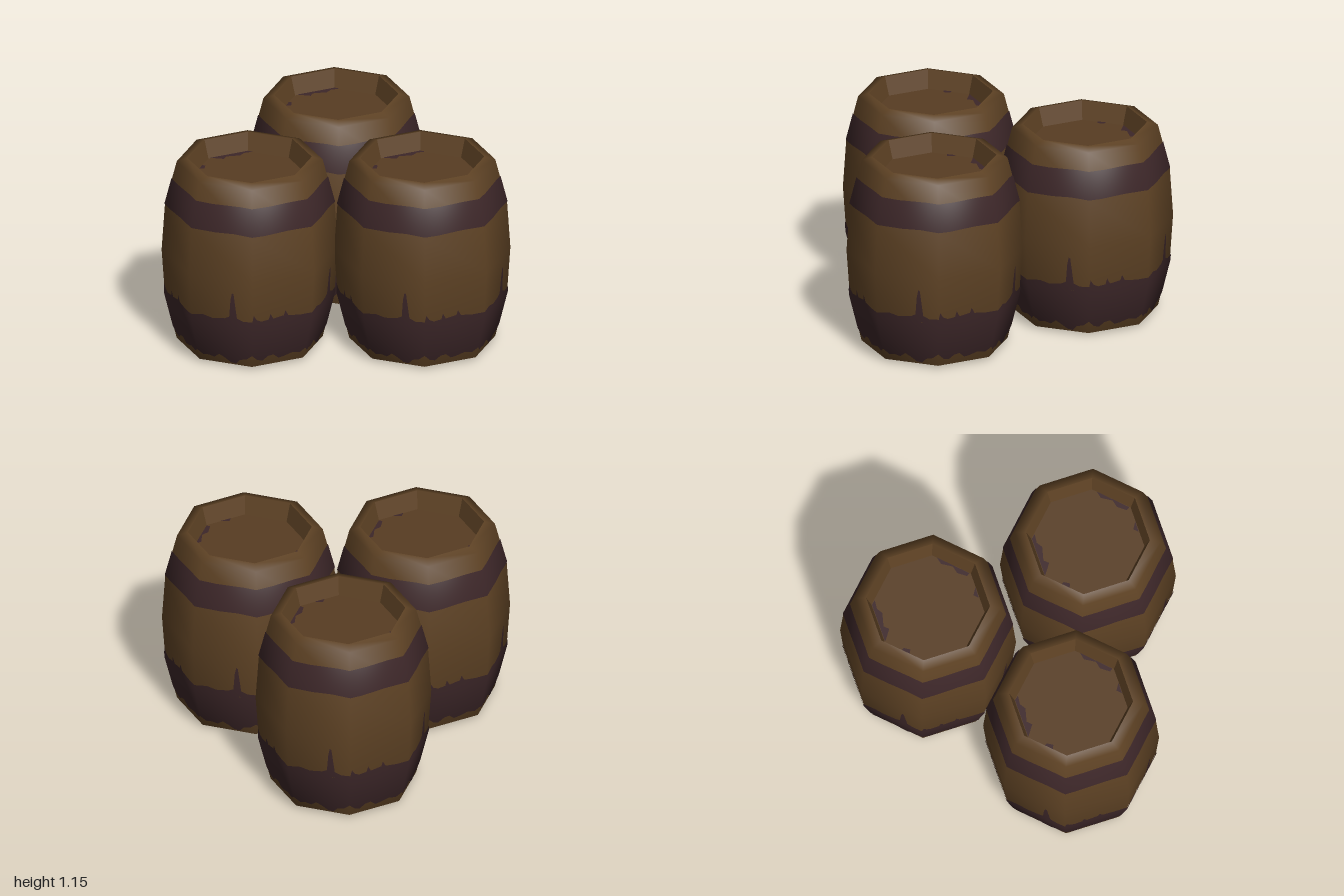
import * as THREE from 'three';

const SIDES = 8;
const TURN = 0.09;
const material = (name, color) => {
  const m = new THREE.MeshStandardMaterial({ color });
  m.name = name;
  return m;
};

// Barrel silhouette, radius and height from foot to rim
const PROFILE = [
  [0.357, 0.005], [0.42, 0.021], [0.488, 0.3], [0.507, 0.58],
  [0.488, 0.865], [0.42, 1.135], [0.357, 1.154],
];
const lathe = (points) =>
  new THREE.LatheGeometry(points.map(([r, y]) => new THREE.Vector2(r, y)), SIDES);

const flat = (geometry) => {
  const g = geometry.toNonIndexed();
  g.computeVertexNormals();
  return g;
};

// Piecewise linear lookup in [key, value] pairs
function lookup(table, key) {
  let i = 1;
  while (i < table.length - 1 && table[i][0] < key) i++;
  const [k0, v0] = table[i - 1], [k1, v1] = table[i];
  return THREE.MathUtils.lerp(v0, v1, THREE.MathUtils.clamp((key - k0) / (k1 - k0), 0, 1));
}

// Edges of the painted bands over two staves faces; the pattern repeats four times
const LOWER_BOTTOM = [
  [0, 0.09], [0.1, 0.06], [0.2, 0.065], [0.3, 0.055], [0.4, 0.08], [0.5, 0.06], [0.6, 0.035],
  [0.7, 0.03], [0.78, 0.06], [0.9, 0.07], [1, 0.1], [1.1, 0.065], [1.2, 0.055], [1.3, 0.08],
  [1.4, 0.085], [1.5, 0.055], [1.6, 0.06], [1.75, 0.075], [1.9, 0.065], [2, 0.09],
];
const LOWER_TOP = [
  [0, 0.33], [0.2, 0.34], [0.35, 0.325], [0.55, 0.335], [0.625, 0.35], [0.65, 0.46], [0.675, 0.505],
  [0.7, 0.5], [0.725, 0.42], [0.75, 0.345], [0.85, 0.33], [1, 0.335], [1.025, 0.375], [1.075, 0.345],
  [1.15, 0.33], [1.275, 0.335], [1.3, 0.37], [1.35, 0.335], [1.525, 0.345], [1.55, 0.375],
  [1.6, 0.34], [1.8, 0.33], [2, 0.33],
];
const UPPER_BOTTOM = [[0, 0.87], [0.4, 0.867], [0.7, 0.873], [1.2, 0.866], [1.6, 0.872], [2, 0.87]];
const UPPER_TOP = [[0, 1.03], [0.3, 1.026], [0.8, 1.032], [1.3, 1.027], [1.7, 1.031], [2, 1.03]];

// Thin painted skin wrapped over the staves between two ragged edges
function bandGeometry(bottom, top, body) {
  const rows = 7, perQuarter = 80, columns = perQuarter * 4;
  const n = body.attributes.normal;
  const radialNormal = PROFILE.map(([, y], i) => [y, n.getZ(i)]);
  const upNormal = PROFILE.map(([, y], i) => [y, n.getY(i)]);
  const radius = PROFILE.map(([r, y]) => [y, r]);
  const position = [], normal = [], index = [];
  for (let c = 0; c <= columns; c++) {
    const s = c === columns ? 2 : (c % perQuarter) * 2 / perQuarter;
    const face = c * 2 / perQuarter;
    const a = (Math.floor(face) - 1) * Math.PI / 4, b = a + Math.PI / 4;
    const f = face - Math.floor(face);
    const dx = THREE.MathUtils.lerp(Math.sin(a), Math.sin(b), f);
    const dz = THREE.MathUtils.lerp(Math.cos(a), Math.cos(b), f);
    const low = lookup(bottom, s), high = lookup(top, s);
    for (let r = 0; r <= rows; r++) {
      const y = THREE.MathUtils.lerp(low, high, r / rows);
      const rad = lookup(radius, y) + 0.004;
      const side = lookup(radialNormal, y);
      const v = new THREE.Vector3(dx * side, lookup(upNormal, y), dz * side).normalize();
      position.push(dx * rad, y, dz * rad);
      normal.push(v.x, v.y, v.z);
      if (c < columns && r < rows) {
        const i = c * (rows + 1) + r, j = i + rows + 1;
        index.push(i, j, i + 1, j + 1, i + 1, j);
      }
    }
  }
  const g = new THREE.BufferGeometry();
  g.setAttribute('position', new THREE.Float32BufferAttribute(position, 3));
  g.setAttribute('normal', new THREE.Float32BufferAttribute(normal, 3));
  g.setIndex(index);
  return g;
}

// Stains along the edge of the lid, as x and z around the barrel's middle
const STAINS = [
  [[-0.235, -0.21], [-0.16, -0.2], [-0.15, -0.235], [-0.07, -0.255], [-0.05, -0.29], [0, -0.31], [-0.03, -0.322], [-0.24, -0.212]],
  [[0.315, 0], [0.25, 0.2], [0.23, 0.19], [0.24, 0.13], [0.275, 0.1], [0.28, 0.03]],
  [[0.17, 0.248], [0.11, 0.278], [0.12, 0.245]],
  [[-0.28, -0.11], [-0.293, -0.06], [-0.265, -0.06], [-0.262, -0.1]],
];

export function createModel() {
  const wood = material('brown wood', 0x5e4224);
  const lidWood = material('lid wood', 0x583d23);
  const band = material('dark purple band', 0x3d2729);

  const body = lathe(PROFILE);
  const lidTop = 1.045, lidBottom = 0.114, lidRadius = 0.326;
  const stains = new THREE.ShapeGeometry(
    STAINS.map((points) => new THREE.Shape(points.map(([x, z]) => new THREE.Vector2(x, -z))))
  ).rotateX(-Math.PI / 2).rotateY(-TURN).translate(0, lidTop + 0.004, 0);

  const parts = [
    ['staves', body, wood],
    ['upperRimInside', flat(lathe([[0.357, 1.154], [lidRadius, lidTop]])), wood],
    ['lowerRimInside', flat(lathe([[lidRadius, lidBottom], [0.357, 0.005]])), wood],
    ['lid', new THREE.CircleGeometry(lidRadius, SIDES).rotateX(-Math.PI / 2).translate(0, lidTop, 0), lidWood],
    ['base', new THREE.CircleGeometry(lidRadius, SIDES).rotateX(Math.PI / 2).translate(0, lidBottom, 0), lidWood],
    ['lidStains', stains, band],
    ['upperBand', bandGeometry(UPPER_BOTTOM, UPPER_TOP, body), band],
    ['lowerBand', bandGeometry(LOWER_BOTTOM, LOWER_TOP, body), band],
  ];

  // Three barrels standing close together
  const model = new THREE.Group();
  model.name = 'barrels';
  const places = { backBarrel: [-0.05, -0.455], rightBarrel: [-0.495, 0.45], leftBarrel: [0.495, 0.388] };
  for (const [name, [x, z]] of Object.entries(places)) {
    const barrel = new THREE.Group();
    barrel.name = name;
    for (const [part, geometry, mat] of parts) {
      const mesh = new THREE.Mesh(geometry, mat);
      mesh.name = part;
      barrel.add(mesh);
    }
    barrel.position.set(x, 0, z);
    barrel.rotation.y = TURN;
    model.add(barrel);
  }
  return model;
}
